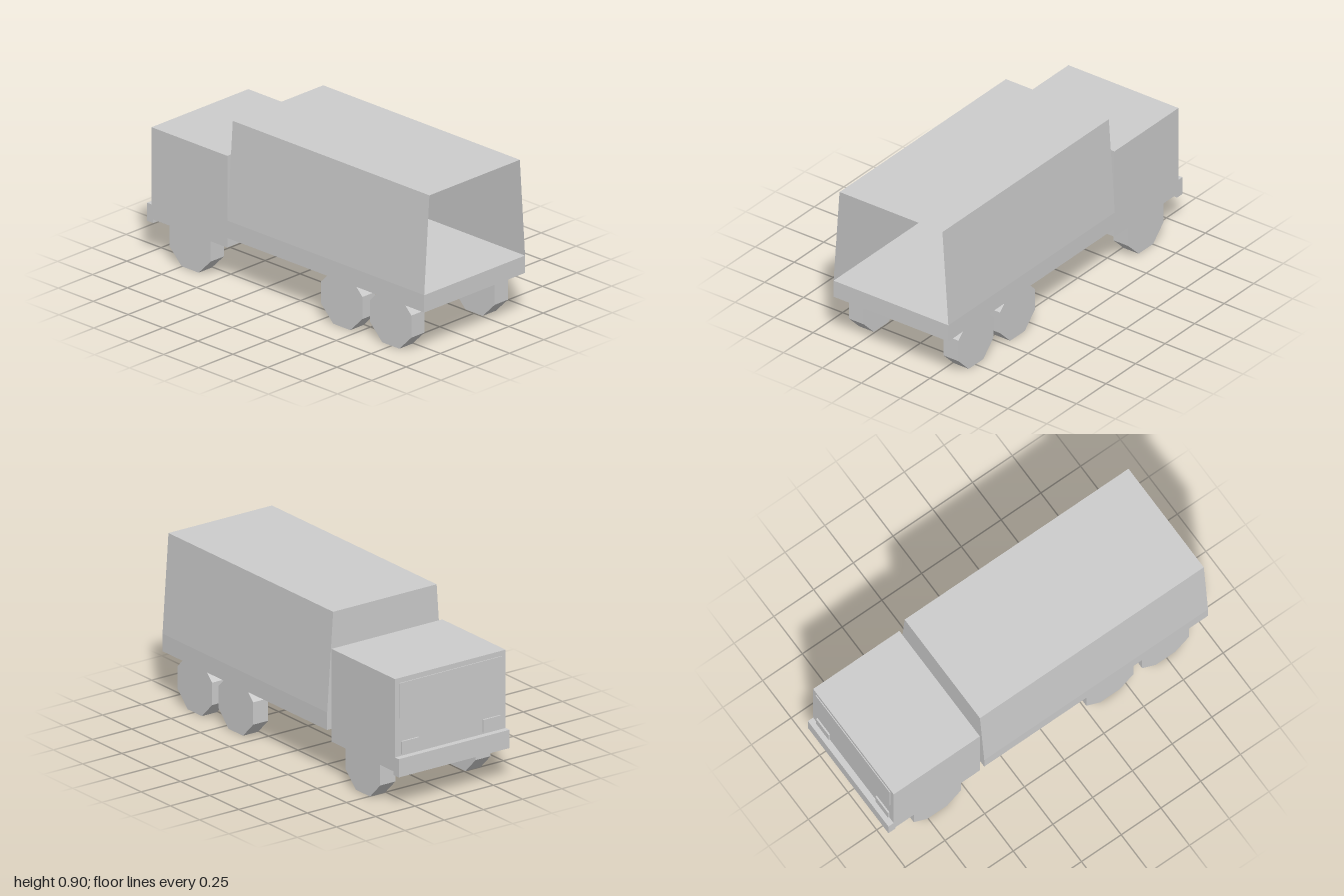
import * as THREE from 'three';

export function createModel() {
  const group = new THREE.Group();
  group.name = 'truck';
  const grey = new THREE.MeshStandardMaterial({ color: 0xcccccc });
  grey.name = 'plainGrey';
  const greyThin = new THREE.MeshStandardMaterial({ color: 0xcccccc, side: THREE.DoubleSide });
  greyThin.name = 'plainGreySheet';

  const add = (name, geometry, material = grey) => {
    const mesh = new THREE.Mesh(geometry, material);
    mesh.name = name;
    group.add(mesh);
    return mesh;
  };
  // box given by its extents on each axis
  const box = (name, x0, x1, y0, y1, z0, z1) =>
    add(name, new THREE.BoxGeometry(x1 - x0, y1 - y0, z1 - z0))
      .position.set((x0 + x1) / 2, (y0 + y1) / 2, (z0 + z1) / 2);

  // cab, with windscreen, lamps and bumper on its -z face
  box('cab', -0.353, 0.353, 0.2, 0.708, -0.967, -0.425);
  box('windscreen', -0.325, 0.325, 0.487, 0.68, -0.972, -0.966);
  box('bumper', -0.353, 0.353, 0.18, 0.28, -1, -0.955);

  // cargo bed
  box('cargoBed', -0.368, 0.368, 0.262, 0.358, -0.408, 1);

  // thin cover with leaning sides, closed towards the cab and open at +z
  const profile = [[-0.368, 0.358], [-0.33, 0.9], [0.33, 0.9], [0.368, 0.358]];
  const names = ['coverSide', 'coverRoof', 'coverSide'];
  const quad = (name, a, b, c, d) => {
    const geometry = new THREE.BufferGeometry();
    geometry.setAttribute('position', new THREE.Float32BufferAttribute([a, b, c, d].flat(), 3));
    geometry.setIndex([0, 1, 2, 0, 2, 3]);
    geometry.computeVertexNormals();
    add(name, geometry, greyThin);
  };
  names.forEach((name, i) => {
    const p = profile[i], q = profile[i + 1];
    quad(name, [...p, -0.408], [...p, 1], [...q, 1], [...q, -0.408]);
  });
  quad('coverEndWall', ...profile.map((p) => [...p, -0.408]));

  // octagonal wheels standing on a flat, and lamps, mirrored
  const wheel = new THREE.CylinderGeometry(0.16, 0.16, 0.096, 8).toNonIndexed();
  wheel.rotateY(Math.PI / 8).rotateZ(Math.PI / 2);
  wheel.computeVertexNormals();
  for (const side of [-1, 1]) {
    for (const z of [0.745, 0.394, -0.692]) {
      add('wheel', wheel).position.set(side * 0.304, 0.148, z);
    }
    const x = side * 0.26;
    box('headlamp', x - 0.055, x + 0.055, 0.29, 0.36, -0.976, -0.966);
  }
  return group;
}
